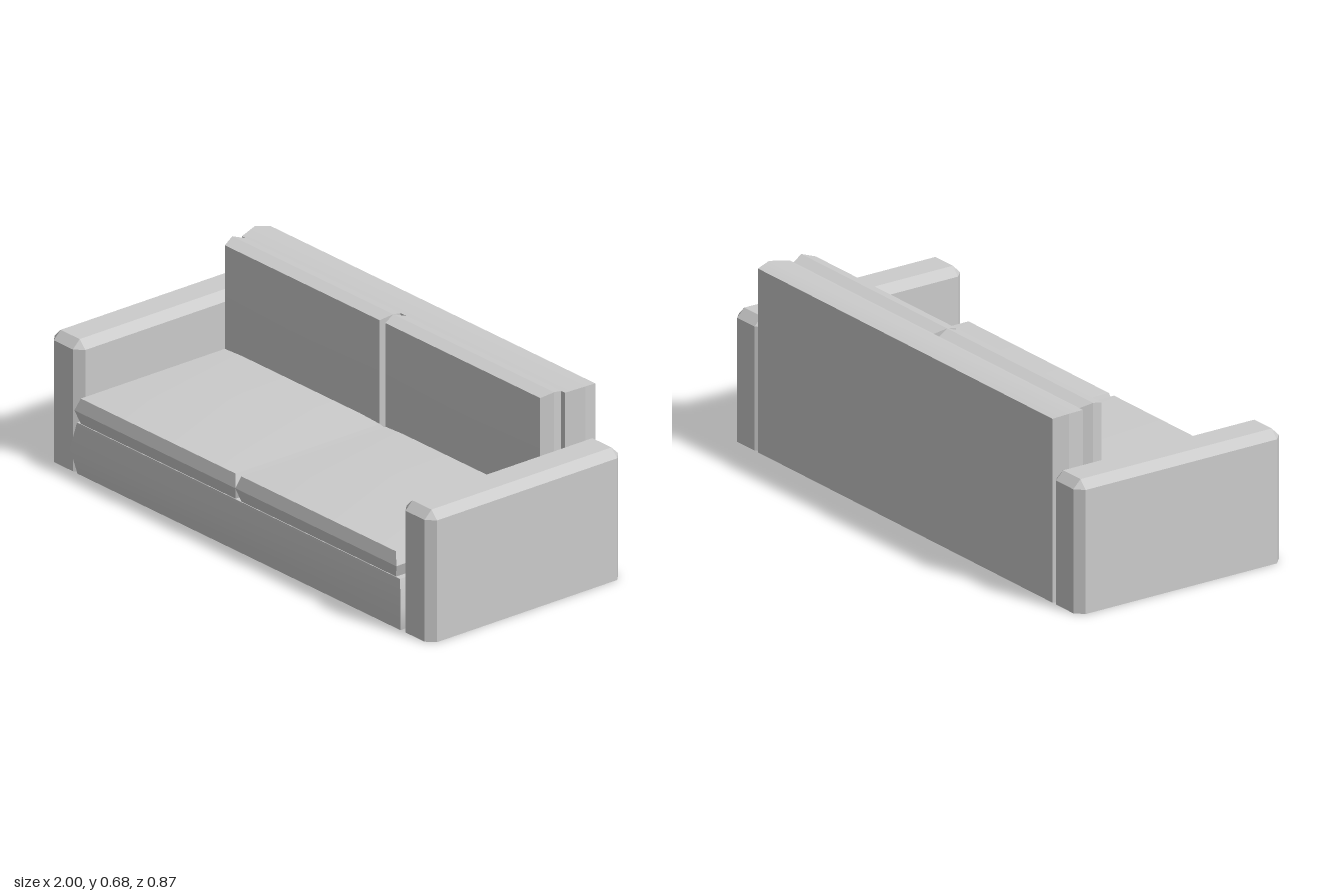
import * as THREE from 'three';
import { toCreasedNormals } from 'three/addons/utils/BufferGeometryUtils.js';

const material = new THREE.MeshStandardMaterial({ color: 0xcccccc, side: THREE.DoubleSide });

// Outline of a rectangle with its corners cut; (a, b) turn counter-clockwise about the axis.
function outline(a0, a1, b0, b1, cut = null) {
  if (cut === null) return [[a0, b0], [a1, b0], [a1, b1], [a0, b1]];
  const c = cut;
  return [[a0 + c, b0], [a1 - c, b0], [a1, b0 + c], [a1, b1 - c],
    [a1 - c, b1], [a0 + c, b1], [a0, b1 - c], [a0, b0 + c]];
}

// Skin a stack of outlines along 'y' (a = z, b = x) or 'z' (a = x, b = y).
// crown raises the middle of the end cap; startCap closes the first outline.
function loft(name, axis, levels, { crown = 0, startCap = true } = {}) {
  const place = ([a, b], h) => (axis === 'y' ? [b, h, a] : [a, b, h]);
  const rings = levels.map(({ h, ring }) => ring.map((p) => place(p, h)));
  const centre = ({ h, ring }, lift) => {
    const mean = (k) => ring.reduce((s, p) => s + p[k], 0) / ring.length;
    return place([mean(0), mean(1)], h + lift);
  };
  const positions = [];
  const tri = (...points) => points.forEach((p) => positions.push(...p));
  const n = rings[0].length;
  const last = rings.length - 1;
  const start = centre(levels[0], 0);
  const end = centre(levels[last], crown);
  for (let i = 0; i < n; i++) {
    const j = (i + 1) % n;
    for (let k = 0; k < last; k++) {
      tri(rings[k][i], rings[k][j], rings[k + 1][j]);
      tri(rings[k][i], rings[k + 1][j], rings[k + 1][i]);
    }
    tri(rings[last][i], rings[last][j], end);
    if (startCap) tri(rings[0][j], rings[0][i], start);
  }
  const geometry = new THREE.BufferGeometry();
  geometry.setAttribute('position', new THREE.Float32BufferAttribute(positions, 3));
  const mesh = new THREE.Mesh(toCreasedNormals(geometry, 0.42), material);
  mesh.name = name;
  return mesh;
}

export function createModel() {
  const sofa = new THREE.Group();
  sofa.name = 'sofa';

  // Hollow base with a bulging front, open underneath
  sofa.add(loft('base', 'y', [
    { h: 0, ring: outline(-0.42, 0.421, -0.845, 0.845) },
    { h: 0.09, ring: outline(-0.42, 0.437, -0.865, 0.865) },
    { h: 0.19, ring: outline(-0.42, 0.423, -0.845, 0.845) },
  ], { startCap: false }));

  // Backrest with a shallow ridge around its edge
  sofa.add(loft('backrest', 'z', [
    { h: -0.435, ring: outline(-0.85, 0.85, 0, 0.667) },
    { h: -0.378, ring: outline(-0.865, 0.865, 0, 0.677) },
    { h: -0.305, ring: outline(-0.845, 0.845, 0, 0.668) },
  ]));

  for (const [side, s] of [['left', 1], ['right', -1]]) {
    // Span between two distances from the middle, on this side
    const span = (inner, outer) => (s > 0 ? [inner, outer] : [-outer, -inner]);

    // Armrest with bevelled upright and top edges, open underneath
    const arm = span(0.84, 1);
    const armRing = outline(-0.435, 0.42, ...arm, 0.03);
    sofa.add(loft(side + 'Armrest', 'y', [
      { h: 0, ring: armRing },
      { h: 0.45, ring: armRing },
      { h: 0.48, ring: outline(-0.405, 0.39, arm[0] + 0.03, arm[1] - 0.03, 0) },
    ], { startCap: false }));

    // Seat cushion with pointed edges and a low crown
    const narrow = span(0.015, 0.825);
    const wide = span(0, 0.842);
    sofa.add(loft(side + 'SeatCushion', 'y', [
      { h: 0.192, ring: outline(-0.3, 0.423, ...narrow) },
      { h: 0.24, ring: outline(-0.305, 0.437, ...wide) },
      { h: 0.285, ring: outline(-0.3, 0.423, ...narrow) },
    ], { crown: 0.03 }));

    // Back cushion, crowned towards the front
    sofa.add(loft(side + 'BackCushion', 'z', [
      { h: -0.305, ring: outline(...narrow, 0.23, 0.668) },
      { h: -0.26, ring: outline(...wide, 0.215, 0.682) },
      { h: -0.213, ring: outline(...narrow, 0.23, 0.668) },
    ], { crown: 0.017 }));
  }
  return sofa;
}
